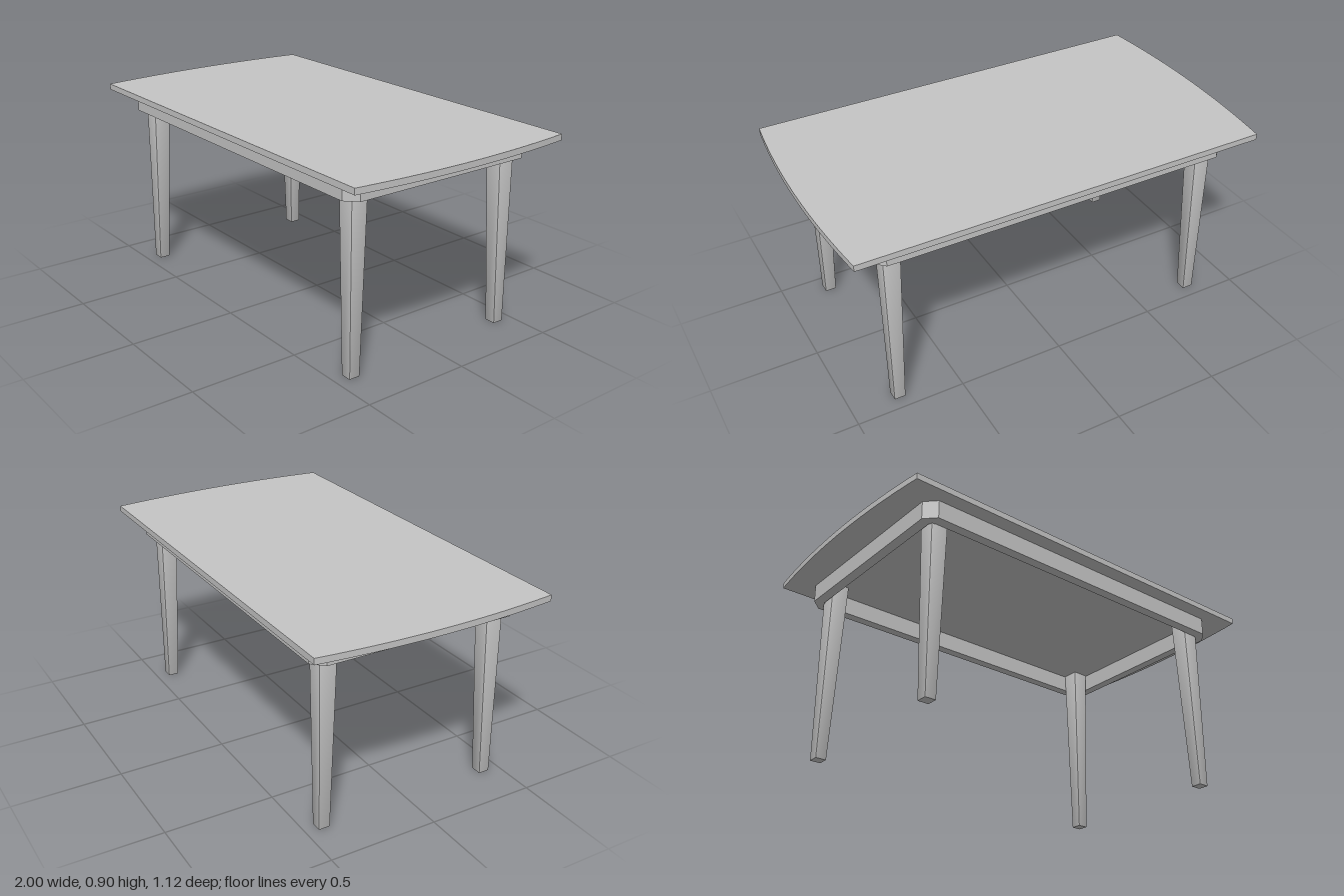
import * as THREE from 'three';
import { RoundedBoxGeometry } from 'three/addons/geometries/RoundedBoxGeometry.js';
import { toCreasedNormals } from 'three/addons/utils/BufferGeometryUtils.js';

const TOP = 0.9, TOP_UNDER = 0.872, APRON_UNDER = 0.788;

// Horizontal slab from an outline in x and z, standing between two heights
function slab(outline, y0, y1) {
  const geo = new THREE.ExtrudeGeometry(outline, { depth: y1 - y0, bevelEnabled: false, curveSegments: 24 });
  geo.rotateX(-Math.PI / 2);
  geo.translate(0, y0, 0);
  return toCreasedNormals(geo, 0.5);
}

// Rectangle with cut corners
function cutCorners(x, z, c) {
  return [[x, z - c], [x - c, z], [c - x, z], [-x, z - c], [-x, c - z], [c - x, -z], [x - c, -z], [x, c - z]]
    .map(([a, b]) => new THREE.Vector2(a, b));
}

// Leg with straight outer faces; the two inner faces taper towards the floor
function legGeometry(sx, sz) {
  const h = TOP_UNDER;
  const geo = new RoundedBoxGeometry(1, h, 1, 1, 0.004);
  const p = geo.attributes.position;
  for (let i = 0; i < p.count; i++) {
    const y = p.getY(i) + h / 2;
    const width = THREE.MathUtils.lerp(0.053, 0.083, y / h);
    // keep the edge rounding small after narrowing the unit section
    const place = (u, outer, s) => {
      const edge = Math.abs(u) > 0.49 ? Math.sign(u) * (0.5 - (0.5 - Math.abs(u)) / width) : u;
      return s * (outer - (0.5 - edge * s) * width);
    };
    p.setXYZ(i, place(p.getX(i), 0.807, sx), y, place(p.getZ(i), 0.444, sz));
  }
  return toCreasedNormals(geo, 0.5);
}

export function createModel() {
  const grey = new THREE.MeshStandardMaterial({ color: 0xc4c4c4 });
  grey.name = 'light grey';
  const table = new THREE.Group();
  table.name = 'table';
  const add = (geo, name) => {
    const mesh = new THREE.Mesh(geo, grey);
    mesh.name = name;
    table.add(mesh);
  };

  // Top with straight long sides and bowed ends
  const top = new THREE.Shape();
  top.moveTo(-0.965, -0.56);
  top.lineTo(0.965, -0.56);
  top.quadraticCurveTo(1.035, 0, 0.965, 0.56);
  top.lineTo(-0.965, 0.56);
  top.quadraticCurveTo(-1.035, 0, -0.965, -0.56);
  add(slab(top, TOP_UNDER, TOP), 'tableTop');

  // Open apron frame with cut corners
  const apron = new THREE.Shape(cutCorners(0.857, 0.492, 0.05));
  apron.holes.push(new THREE.Path(cutCorners(0.812, 0.447, 0.02)));
  add(slab(apron, APRON_UNDER, TOP_UNDER), 'apron');

  // Four legs
  for (const [sx, side] of [[1, 'Left'], [-1, 'Right']])
    for (const [sz, end] of [[1, 'front'], [-1, 'back']])
      add(legGeometry(sx, sz), `${end}${side}Leg`);

  return table;
}
